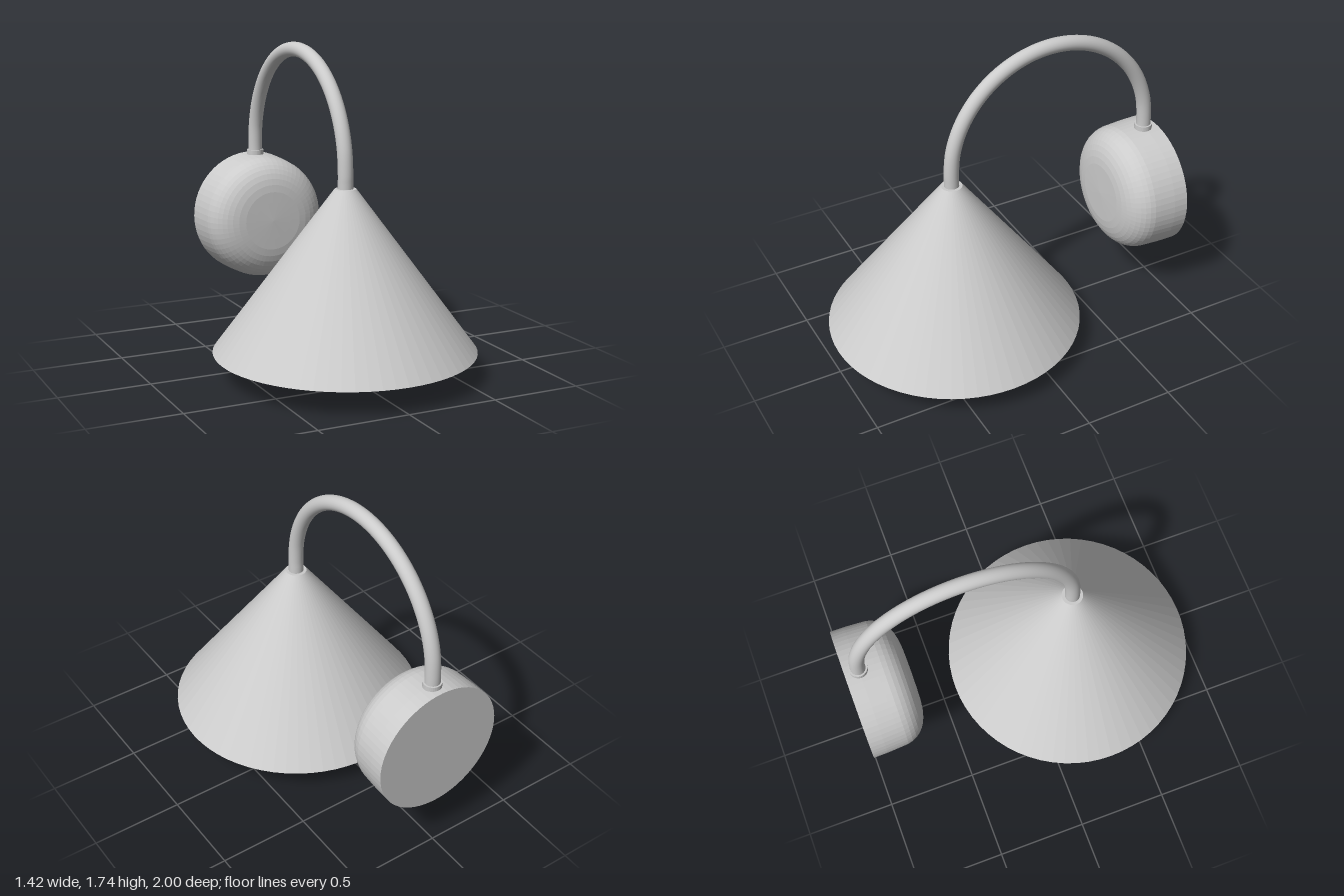
import * as THREE from 'three';

const grey = new THREE.MeshStandardMaterial({ color: 0xcccccc });
const faceted = new THREE.MeshStandardMaterial({ color: 0xcccccc, flatShading: true });
const white = new THREE.MeshStandardMaterial({ color: 0xffffff });

const SHADE_Z = 0.29, MOUNT_Z = -0.92, PLATE_Y = 0.66;

function part(name, geometry, material, x = 0, y = 0, z = 0) {
  const mesh = new THREE.Mesh(geometry, material);
  mesh.name = name;
  mesh.position.set(x, y, z);
  return mesh;
}

const lathe = (points, segments) =>
  new THREE.LatheGeometry(points.map(([r, y]) => new THREE.Vector2(r, y)), segments);

// Semicircular arm with short straight ends
function armGeometry() {
  const r = (SHADE_Z - MOUNT_Z) / 2, midZ = (SHADE_Z + MOUNT_Z) / 2, springY = 1.093;
  const points = [new THREE.Vector3(0, 0.98, SHADE_Z), new THREE.Vector3(0, 1.04, SHADE_Z)];
  for (let i = 0; i <= 16; i++) {
    const a = Math.PI * i / 16;
    points.push(new THREE.Vector3(0, springY + r * Math.sin(a), midZ + r * Math.cos(a)));
  }
  points.push(new THREE.Vector3(0, 1.0, MOUNT_Z));
  return new THREE.TubeGeometry(new THREE.CatmullRomCurve3(points), 80, 0.041, 24);
}

// Round wall housing: flat back, slightly tapered side, softly rounded front
function housingGeometry() {
  const profile = [[0, 0], [0.368, 0], [0.367, 0.08], [0.362, 0.17]];
  for (let i = 1; i <= 10; i++) {
    const a = (Math.PI / 2) * i / 10;
    profile.push([0.11 + 0.252 * Math.cos(a) ** 0.75, 0.17 + 0.175 * Math.sin(a) ** 0.9]);
  }
  profile.push([0, 0.348]);
  return lathe(profile, 64).rotateX(Math.PI / 2);
}

export function createModel() {
  const lamp = new THREE.Group();
  lamp.name = 'wallLamp';

  // Hollow conical shade with a thin rim
  const shade = lathe([
    [0.03, 0.985], [0.045, 0.985], [0.685, 0.14], [0.71, 0.14], [0.058, 1.015], [0.03, 1.015],
  ], 64);
  lamp.add(part('shade', shade, faceted, 0, 0, SHADE_Z));

  // Globe bulb and its socket
  lamp.add(part('bulb', new THREE.SphereGeometry(0.375, 32, 20), faceted, 0, 0.375, SHADE_Z));
  lamp.add(part('socket', new THREE.CylinderGeometry(0.04, 0.06, 0.26, 24), grey, 0, 0.86, SHADE_Z));

  lamp.add(part('arm', armGeometry(), grey));

  // Wall housing, arm collar and small plug underneath
  lamp.add(part('wallHousing', housingGeometry(), faceted, 0, PLATE_Y, -1));
  lamp.add(part('armCollar', new THREE.CylinderGeometry(0.05, 0.05, 0.05, 32), faceted, 0, 1.027, MOUNT_Z));
  lamp.add(part('bottomPlug', new THREE.CylinderGeometry(0.017, 0.017, 0.02, 16), white, 0, 0.301, MOUNT_Z));

  return lamp;
}
